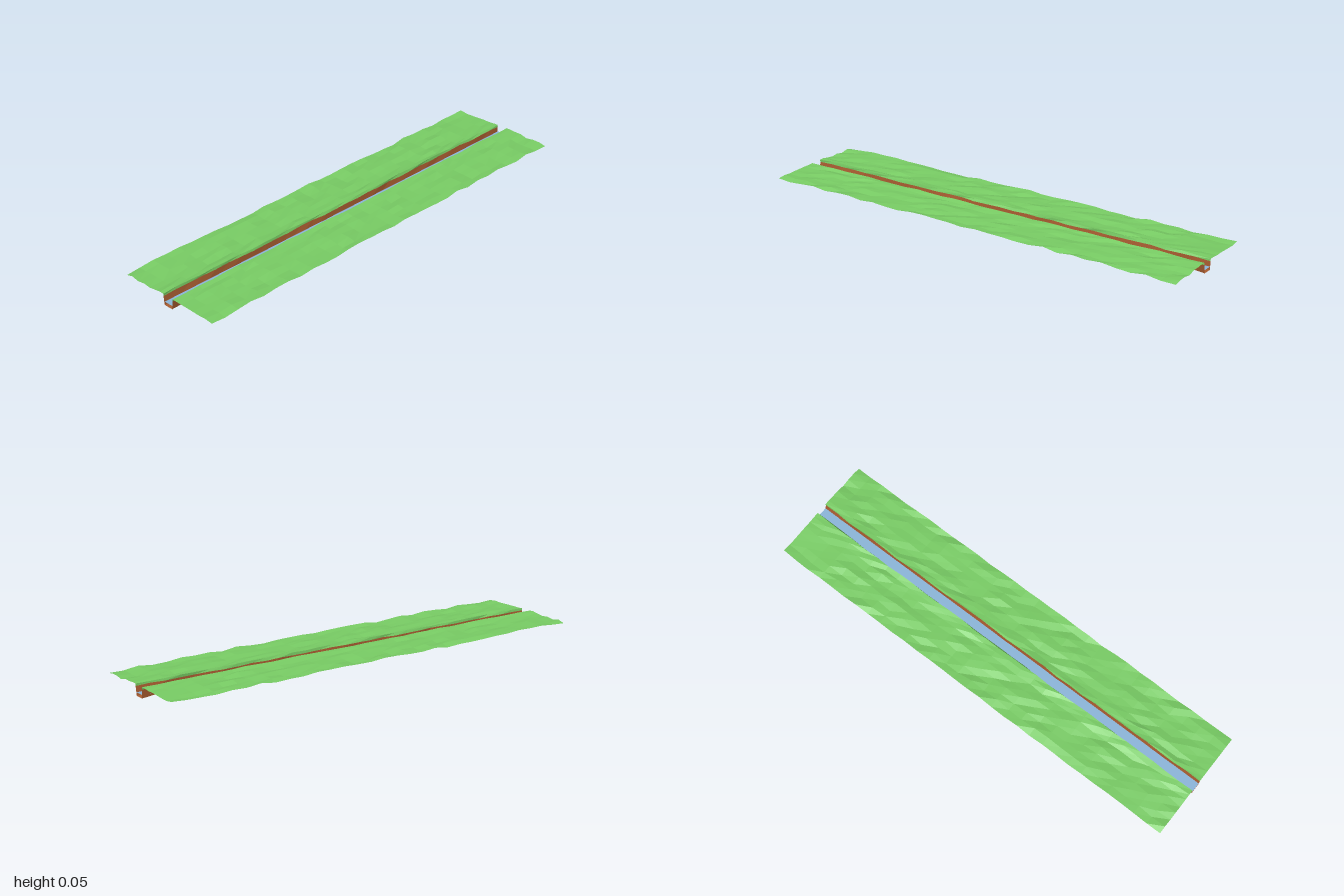
import * as THREE from 'three';

const SEGMENTS = 30;

// Repeatable noise in -1..1
function noise(i, j) {
  const s = Math.sin(i * 127.1 + j * 311.7) * 43758.5453;
  return (s - Math.floor(s)) * 2 - 1;
}

// Cross-section from back to front: [z, y, z wobble, y wobble]
const bank = [
  [0.25, 0.047, 0.002, 0.006], [0.215, 0.047, 0.004, 0.005], [0.18, 0.047, 0.004, 0.005],
  [0.145, 0.048, 0.004, 0.005], [0.11, 0.048, 0.004, 0.005], [0.075, 0.049, 0.004, 0.005],
  [0.05, 0.051, 0.003, 0.004], [0.028, 0.054, 0.003, 0.002], // grass, up to the lip
  [0.025, 0.044, 0.003, 0.002], // foot of the lip
  [0.0215, 0.007, 0.002, 0.005], // channel floor
];
const section = [
  ...bank.map(([z, ...rest]) => [-z, ...rest]),
  ...bank.slice().reverse(),
];

// Sweep rows first..last of the section along x, with every station wobbling
function strip(name, first, last, color) {
  const rows = last - first;
  const geo = new THREE.PlaneGeometry(2, 1, SEGMENTS, rows);
  const pos = geo.attributes.position;
  for (let j = 0; j <= rows; j++) {
    const row = first + j;
    const [z, y, dz, dy] = section[row];
    // both floor corners rise and fall together
    const key = row === bank.length ? row - 1 : row;
    for (let i = 0; i <= SEGMENTS; i++) {
      pos.setXYZ(
        j * (SEGMENTS + 1) + i,
        -1 + (2 * i) / SEGMENTS,
        Math.max(0, y + dy * noise(i, key)),
        z + dz * noise(i + 57, row)
      );
    }
  }
  geo.computeVertexNormals();
  const mesh = new THREE.Mesh(
    geo,
    new THREE.MeshStandardMaterial({ color, flatShading: true, side: THREE.DoubleSide })
  );
  mesh.name = name;
  return mesh;
}

export function createModel() {
  const group = new THREE.Group();
  group.name = 'streamSection';
  const n = bank.length;
  const end = section.length - 1;

  // Grass banks with their lips
  group.add(strip('backGrassBank', 0, n - 2, 0x78cc64));
  group.add(strip('frontGrassBank', n + 1, end, 0x78cc64));

  // Earth channel: two walls and a floor
  group.add(strip('earthChannel', n - 2, n + 1, 0xa85c30));

  // Flat water surface
  const water = new THREE.Mesh(
    new THREE.PlaneGeometry(2, 0.044).rotateX(-Math.PI / 2),
    new THREE.MeshStandardMaterial({ color: 0x8ab4d8, side: THREE.DoubleSide })
  );
  water.name = 'water';
  water.position.y = 0.02;
  group.add(water);

  return group;
}
